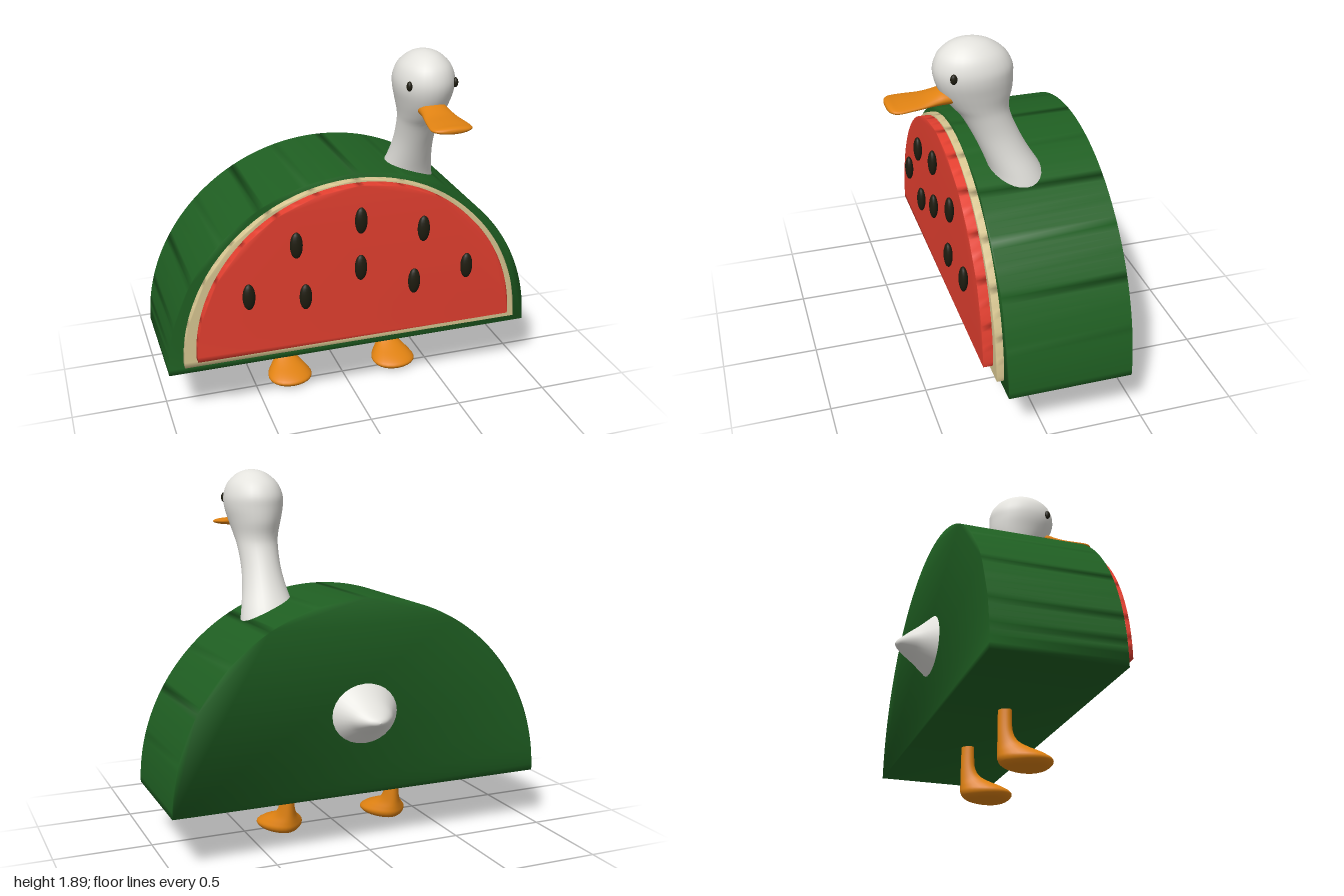
import * as THREE from 'three';
import { mergeVertices } from 'three/addons/utils/BufferGeometryUtils.js';

const paint = (name, color) => {
  const m = new THREE.MeshStandardMaterial({ color });
  m.name = name;
  return m;
};

// Half disc standing on its flat side, with softly blended normals
function halfDisc(radius, y, z0, z1) {
  const shape = new THREE.Shape();
  shape.absarc(0, 0, radius, 0, Math.PI, false);
  shape.closePath();
  let g = new THREE.ExtrudeGeometry(shape, { depth: z1 - z0, bevelEnabled: false, curveSegments: 48 });
  g.deleteAttribute('normal');
  g.deleteAttribute('uv');
  g = mergeVertices(g);
  g.computeVertexNormals();
  return g.translate(0, y, z0);
}

// Smooth skin through oval sections [y, centreZ, radiusX, radiusZ], listed upwards.
// taper makes the +z half wider than the -z half.
function loft(sections, { steps = 4, sides = 28, taper = 0 } = {}) {
  const path = new THREE.CatmullRomCurve3(sections.map(s => new THREE.Vector3(s[0], s[1], 0)), false, 'catmullrom');
  const size = new THREE.CatmullRomCurve3(sections.map(s => new THREE.Vector3(s[2], s[3], 0)), false, 'catmullrom');
  const rows = (sections.length - 1) * steps;
  const pos = [], index = [];
  for (let r = 0; r <= rows; r++) {
    const p = path.getPoint(r / rows), s = size.getPoint(r / rows);
    for (let i = 0; i < sides; i++) {
      const a = (i / sides) * Math.PI * 2;
      pos.push(s.x * Math.cos(a) * (1 + taper * Math.sin(a)), p.x, p.y + s.y * Math.sin(a));
      if (r === rows) continue;
      const b = r * sides + i, n = r * sides + (i + 1) % sides;
      index.push(b, b + sides, n, n, b + sides, n + sides);
    }
  }
  const g = new THREE.BufferGeometry();
  g.setAttribute('position', new THREE.Float32BufferAttribute(pos, 3));
  g.setIndex(index);
  g.computeVertexNormals();
  return g;
}

export function createModel() {
  const model = new THREE.Group();
  const green = paint('rind green', 0x1f5f22);
  const cream = paint('pith cream', 0xd9c792);
  const red = paint('flesh red', 0xe54030);
  const dark = paint('seed black', 0x1e1c10);
  const white = paint('feather white', 0xe4e3de);
  const orange = paint('beak orange', 0xe08212);

  const add = (name, geometry, material, x = 0, y = 0, z = 0) => {
    const mesh = new THREE.Mesh(geometry, material);
    mesh.name = name;
    mesh.position.set(x, y, z);
    model.add(mesh);
    return mesh;
  };

  // Melon slice body in three layers
  add('rind', halfDisc(1, 0.28, -0.433, 0.203), green);
  add('pith', halfDisc(0.922, 0.333, 0.19, 0.24), cream);
  add('flesh', halfDisc(0.86, 0.385, 0.23, 0.29), red);

  // Seeds
  const seed = new THREE.SphereGeometry(1, 16, 12).scale(0.033, 0.071, 0.023);
  for (const [x, y] of [[0, 1.067], [0, 0.805], [0.34, 0.977], [0.59, 0.728], [0.295, 0.683]])
    for (const s of x ? [-1, 1] : [1]) add('seed', seed, dark, s * x, y, 0.312);

  // Neck and head as one skin
  add('neckAndHead', loft([
    [1.05, -0.055, 0.16, 0.15],
    [1.13, -0.04, 0.151, 0.14],
    [1.2, -0.015, 0.136, 0.128],
    [1.3, 0.035, 0.113, 0.116],
    [1.4, 0.083, 0.101, 0.113],
    [1.5, 0.13, 0.104, 0.12],
    [1.56, 0.158, 0.113, 0.142],
    [1.63, 0.175, 0.131, 0.173],
    [1.7, 0.188, 0.148, 0.189],
    [1.76, 0.192, 0.149, 0.189],
    [1.82, 0.198, 0.127, 0.16],
    [1.865, 0.203, 0.082, 0.105],
    [1.885, 0.205, 0.04, 0.052],
    [1.892, 0.205, 0, 0],
  ]), white, 0.36);

  // Eyes
  const eye = new THREE.SphereGeometry(1, 16, 12).scale(0.014, 0.025, 0.017);
  for (const s of [-1, 1]) add(s > 0 ? 'leftEye' : 'rightEye', eye, dark, 0.36 + s * 0.12, 1.743, 0.313);

  // Flat flared beak: sections along z, centre height given as negative
  add('beak', loft([
    [0.28, -1.618, 0.07, 0.038],
    [0.34, -1.618, 0.074, 0.038],
    [0.38, -1.613, 0.077, 0.032],
    [0.44, -1.606, 0.088, 0.022],
    [0.51, -1.602, 0.1, 0.02],
    [0.56, -1.599, 0.105, 0.019],
    [0.59, -1.599, 0.092, 0.018],
    [0.607, -1.599, 0.058, 0.012],
    [0.612, -1.6, 0, 0],
  ]).rotateX(Math.PI / 2), orange, 0.36);

  // Pointed tail, sections along z
  add('tail', loft([
    [-0.616, -0.69, 0, 0],
    [-0.608, -0.69, 0.025, 0.014],
    [-0.59, -0.691, 0.055, 0.028],
    [-0.55, -0.693, 0.095, 0.058],
    [-0.5, -0.695, 0.128, 0.096],
    [-0.43, -0.697, 0.18, 0.156],
    [-0.4, -0.697, 0.2, 0.18],
  ]).rotateX(Math.PI / 2), white);

  // Legs flowing into webbed feet
  const foot = loft([
    [0, -0.03, 0, 0],
    [0.004, -0.03, 0.075, 0.09],
    [0.018, -0.03, 0.107, 0.122],
    [0.04, -0.032, 0.118, 0.134],
    [0.065, -0.052, 0.099, 0.116],
    [0.095, -0.09, 0.068, 0.078],
    [0.125, -0.118, 0.049, 0.05],
    [0.17, -0.131, 0.039, 0.037],
    [0.23, -0.133, 0.036, 0.034],
    [0.3, -0.133, 0.036, 0.033],
  ], { taper: 0.22 });
  for (const s of [-1, 1]) add(s > 0 ? 'leftFoot' : 'rightFoot', foot, orange, s * 0.305);

  return model;
}
